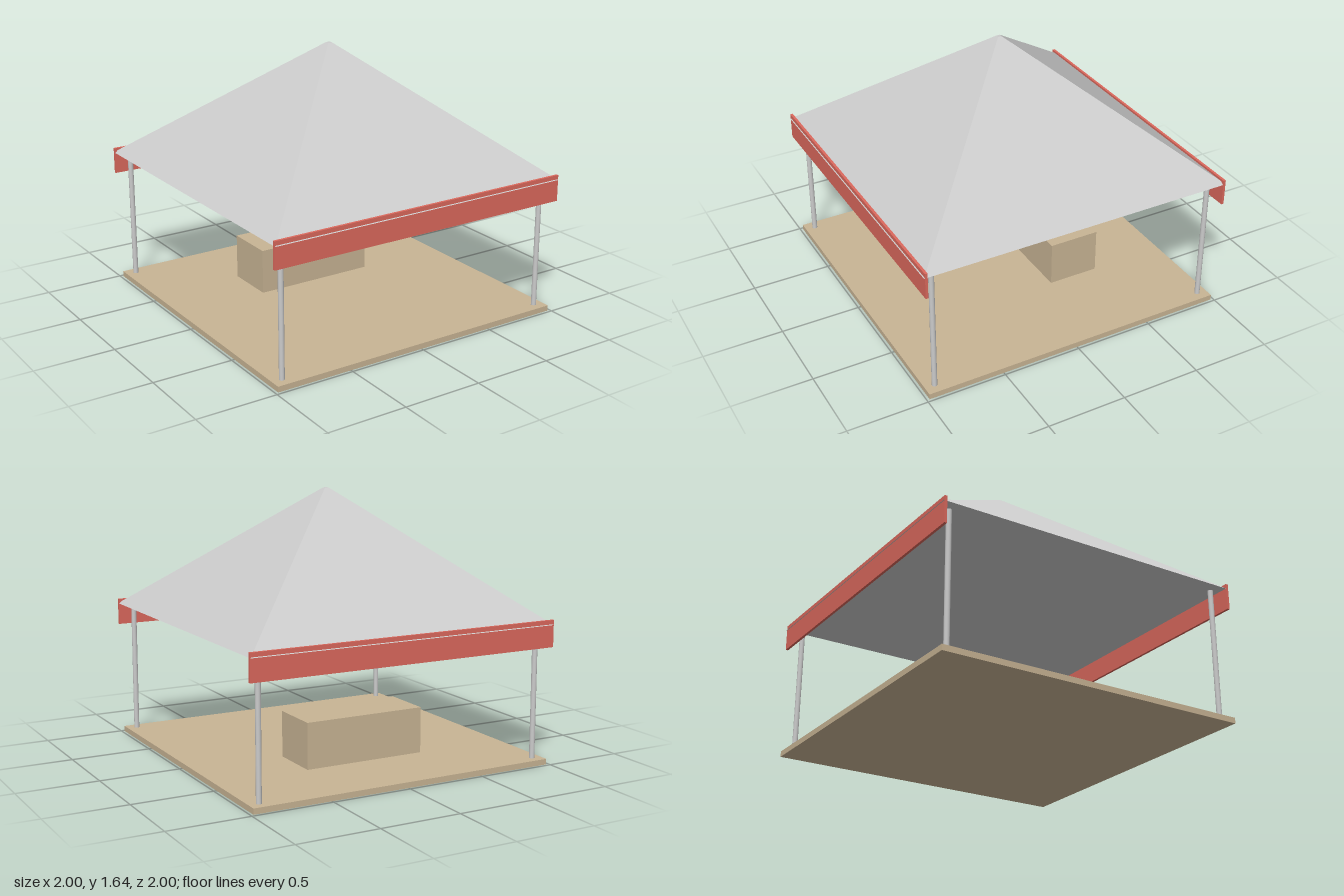
import * as THREE from 'three';

const grey = new THREE.MeshStandardMaterial({ color: 0xcccccc });
const flatGrey = new THREE.MeshStandardMaterial({ color: 0xcccccc, flatShading: true });
const tan = new THREE.MeshStandardMaterial({ color: 0xc8b494 });
const red = new THREE.MeshStandardMaterial({ color: 0xdc695d });

function add(group, name, geometry, material, x, y, z) {
  const mesh = new THREE.Mesh(geometry, material);
  mesh.name = name;
  mesh.position.set(x, y, z);
  group.add(mesh);
  return mesh;
}

export function createModel() {
  const group = new THREE.Group();
  group.name = 'marketStall';

  const floorTop = 0.035;
  const eaves = 0.86;
  const peak = 1.645;

  // Floor slab and the counter standing towards the back
  add(group, 'floor', new THREE.BoxGeometry(1.965, floorTop, 1.965), tan, 0, floorTop / 2, 0);
  add(group, 'counter', new THREE.BoxGeometry(0.786, 0.285, 0.327), tan, 0, floorTop + 0.1425, -0.328);

  // Four corner posts
  const postGeometry = new THREE.CylinderGeometry(0.0165, 0.0165, eaves - floorTop, 12);
  for (const x of [-0.92, 0.92]) {
    for (const z of [-0.92, 0.92]) {
      add(group, 'post', postGeometry, grey, x, (eaves + floorTop) / 2, z);
    }
  }

  // Four-sided roof with a tiny flat tip
  const roofGeometry = new THREE.CylinderGeometry(0.012 * Math.SQRT2, 0.998 * Math.SQRT2, peak - eaves, 4);
  roofGeometry.rotateY(Math.PI / 4);
  add(group, 'roof', roofGeometry, flatGrey, 0, (eaves + peak) / 2, 0);

  // Fascia boards along the front and back eaves
  const fasciaGeometry = new THREE.BoxGeometry(2, 0.165, 0.016);
  add(group, 'frontFascia', fasciaGeometry, red, 0, 0.8075, 0.985);
  add(group, 'backFascia', fasciaGeometry, red, 0, 0.8075, -0.985);

  return group;
}
